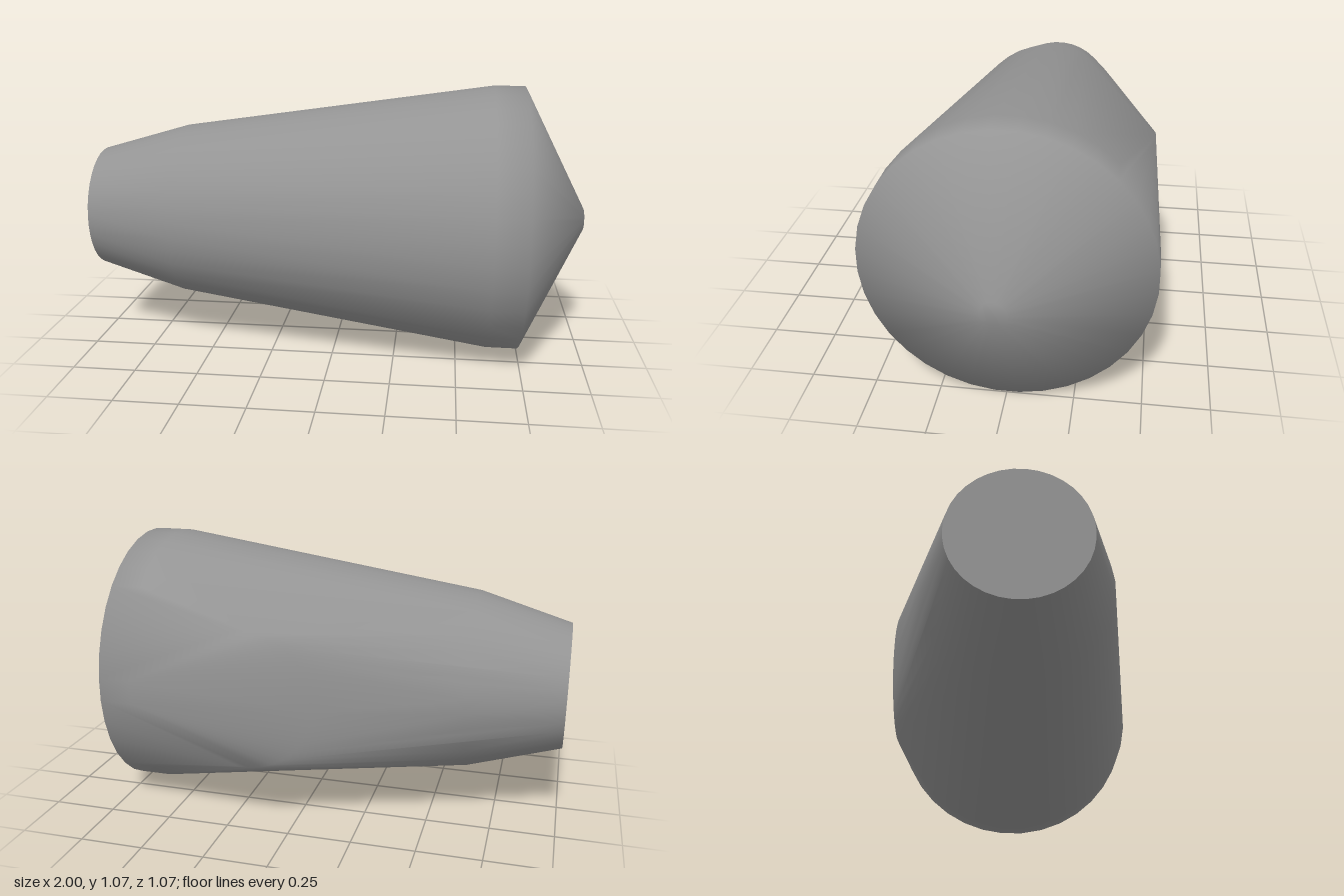
import * as THREE from 'three';
import { ConvexGeometry } from 'three/addons/geometries/ConvexGeometry.js';

const SIDES = 36;
const AXIS_Y = 0.534;

// Rings along the x axis: [x, radius]
const RINGS = [[-1, 0.247], [-0.64, 0.352], [0.62, 0.535], [0.745, 0.535], [1, 0.045]];

// Round flat pad on the back: centre x, radius, z
const PAD = { x: 0.175, r: 0.274, z: -0.496 };

// Smooth normals weighted by corner angle; the rear cap stays flat
function smoothNormals(geometry) {
  const pos = geometry.attributes.position;
  const sums = new Map();
  const tri = new THREE.Triangle();
  const normal = new THREE.Vector3();
  const key = (v) => v.toArray().map((n) => n.toFixed(5)).join();

  const eachFace = (visit) => {
    for (let i = 0; i < pos.count; i += 3) {
      tri.setFromAttributeAndIndices(pos, i, i + 1, i + 2);
      tri.getNormal(normal);
      visit([tri.a, tri.b, tri.c], i, normal.x < -0.99);
    }
  };

  eachFace((corners, i, isCap) => {
    if (isCap) return;
    corners.forEach((p, k) => {
      const toNext = corners[(k + 1) % 3].clone().sub(p);
      const toLast = corners[(k + 2) % 3].clone().sub(p);
      const sum = sums.get(key(p)) ?? new THREE.Vector3();
      sums.set(key(p), sum.addScaledVector(normal, toNext.angleTo(toLast)));
    });
  });

  eachFace((corners, i, isCap) => {
    corners.forEach((p, k) => {
      const n = isCap ? normal : sums.get(key(p)).clone().normalize();
      geometry.attributes.normal.setXYZ(i + k, n.x, n.y, n.z);
    });
  });
  return geometry;
}

export function createModel() {
  const group = new THREE.Group();
  group.name = 'taperedBody';
  const points = [];

  for (let i = 0; i < SIDES; i++) {
    const a = ((i + 0.5) / SIDES) * Math.PI * 2;
    const c = Math.cos(a);
    const s = Math.sin(a);
    // Round tapered body with a blunt conical nose
    for (const [x, r] of RINGS) points.push(new THREE.Vector3(x, AXIS_Y + r * s, r * c));
    // Rim of the back pad
    points.push(new THREE.Vector3(PAD.x + PAD.r * c, AXIS_Y + PAD.r * s, PAD.z));
  }

  // Skin stretched over the rings and the pad
  const body = new THREE.Mesh(
    smoothNormals(new ConvexGeometry(points)),
    new THREE.MeshStandardMaterial({ color: 0x949494 }),
  );
  body.name = 'body';
  group.add(body);
  return group;
}
